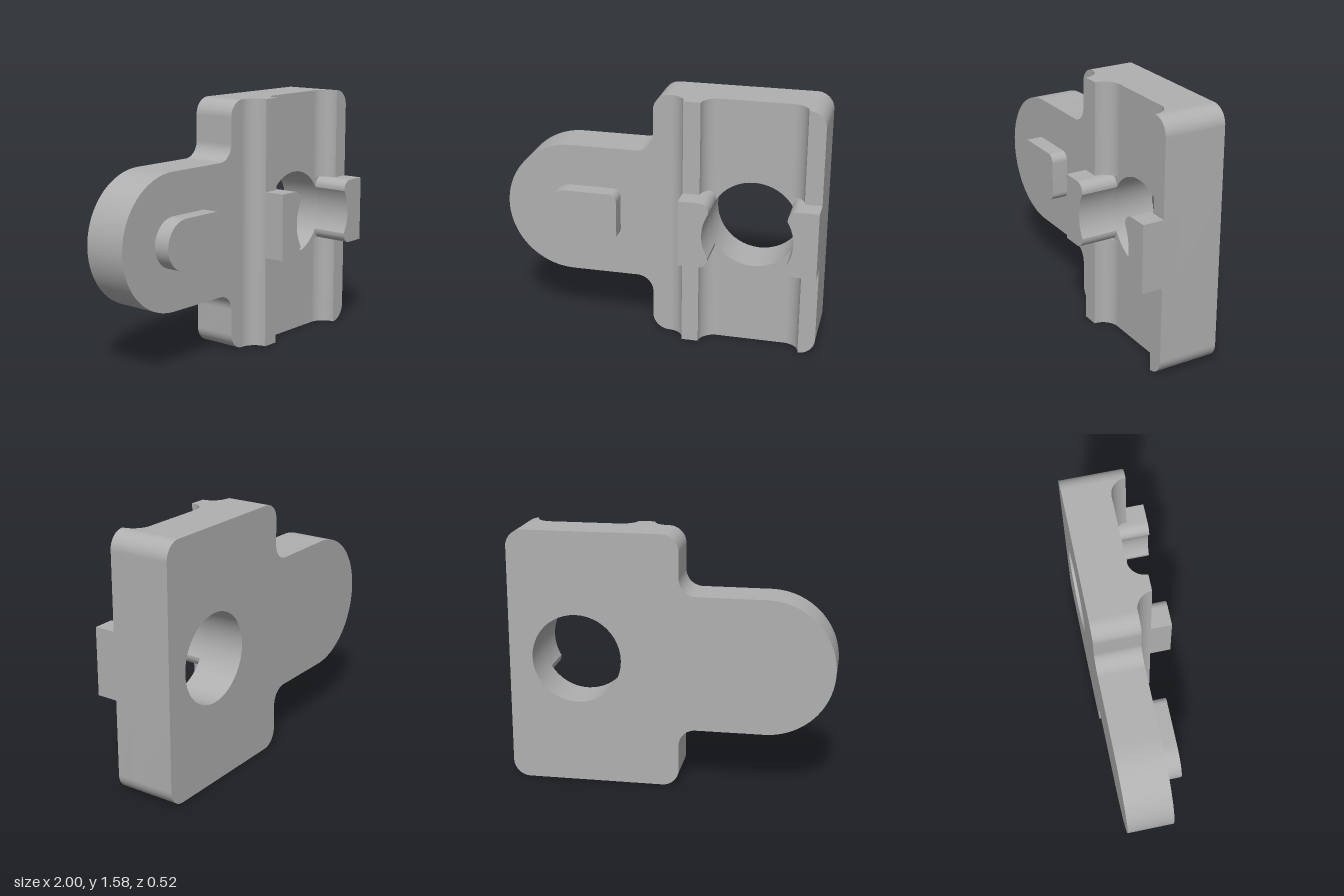
import * as THREE from 'three';
import { toCreasedNormals } from 'three/addons/utils/BufferGeometryUtils.js';

const BACK = -0.26, FLOOR = 0.023, RIDGE = 0.128, TAB = 0.26; // depth levels
const H = 1.58, MID = 0.79, R = 0.105;                        // height, centre line, fillet radius
const HOLE_X = 0.5775, HOLE_R = 0.277;
const TAB_LOW = 0.58, TAB_HIGH = 1.0;
const PI = Math.PI;

export function createModel() {
  const group = new THREE.Group();
  group.name = 'bracket';
  const grey = new THREE.MeshStandardMaterial({ color: 0xb0b0b0 });
  grey.name = 'grey';

  const add = (name, geometry) => {
    const mesh = new THREE.Mesh(toCreasedNormals(geometry, 0.5), grey);
    mesh.name = name;
    group.add(mesh);
  };
  const extrude = (shape, depth) =>
    new THREE.ExtrudeGeometry(shape, { depth, bevelEnabled: false, curveSegments: 24 });
  // front-facing outline, extruded from z0 to z1
  const slab = (name, shape, z0, z1) => add(name, extrude(shape, z1 - z0).translate(0, 0, z0));
  // x-z profile, extruded upwards from y0 to y1
  const rail = (name, shape, y0, y1) =>
    add(name, extrude(shape, y1 - y0).rotateX(PI / 2).translate(0, y1, 0));

  // base plate with rounded tongue and round hole
  const plate = new THREE.Shape();
  const left = -0.055, tongueR = 0.42;
  plate.moveTo(left + R, 0);
  plate.lineTo(1 - R, 0);
  plate.absarc(1 - R, R, R, -PI / 2, 0, false);
  plate.absarc(1 - R, H - R, R, 0, PI / 2, false);
  plate.absarc(left + R, H - R, R, PI / 2, PI, false);
  plate.absarc(left - R, MID + tongueR + R, R, 0, -PI / 2, true);
  plate.absarc(-0.58, MID, tongueR, PI / 2, PI * 1.5, false);
  plate.absarc(left - R, MID - tongueR - R, R, PI / 2, 0, true);
  plate.absarc(left + R, R, R, PI, PI * 1.5, false);
  const hole = new THREE.Path();
  hole.absarc(HOLE_X, MID, HOLE_R, 0, PI * 2, true);
  plate.holes.push(hole);
  slab('basePlate', plate, BACK, FLOOR);

  // raised pad on the tongue
  const pad = new THREE.Shape();
  const padR = 0.157, c = 0.05, padRight = -0.265;
  pad.absarc(-0.578, MID, padR, PI / 2, PI * 1.5, false);
  pad.absarc(padRight - c, MID - padR + c, c, -PI / 2, 0, false);
  pad.absarc(padRight - c, MID + padR - c, c, 0, PI / 2, false);
  slab('tonguePad', pad, FLOOR, RIDGE);

  // outer fillet of the inner ridge, full height
  const outerFillet = new THREE.Shape();
  outerFillet.absarc(0.155 - R, RIDGE, R, -PI / 2, 0, false);
  outerFillet.lineTo(0.155, FLOOR);
  rail('ridgeOuterFillet', outerFillet, 0, H);

  // ridge crest and groove fillets, interrupted by the tabs
  const crest = new THREE.Shape();
  crest.moveTo(0.155, FLOOR);
  crest.lineTo(0.155, RIDGE);
  crest.lineTo(0.26, RIDGE);
  crest.absarc(0.26 + R, RIDGE, R, PI, PI * 1.5, false);
  const edgeFillet = new THREE.Shape();
  edgeFillet.absarc(0.895 - R, RIDGE, R, -PI / 2, 0, false);
  edgeFillet.lineTo(0.895, FLOOR);
  for (const [y0, y1] of [[0, TAB_LOW], [TAB_HIGH, H]]) {
    rail('ridgeCrest', crest, y0, y1);
    rail('edgeRidgeFillet', edgeFillet, y0, y1);
  }

  // edge ridge, following the plate's rounded corners
  const edge = new THREE.Shape();
  edge.moveTo(1 - R, 0);
  edge.absarc(1 - R, R, R, -PI / 2, 0, false);
  edge.absarc(1 - R, H - R, R, 0, PI / 2, false);
  slab('edgeRidge', edge, FLOOR, RIDGE);

  // pair of tabs flanking the hole, mirrored about its centre
  const reach = 0.2375, outer = 0.4225, k = 0.06;
  const half = (TAB_HIGH - TAB_LOW) / 2;
  const a = Math.acos(reach / HOLE_R);
  for (const side of [-1, 1]) {
    const outline = new THREE.Shape();
    outline.moveTo(outer, -half);
    outline.lineTo(outer, half);
    outline.absarc(reach + k, half - k, k, PI / 2, PI, false);
    outline.absarc(0, 0, HOLE_R, a, -a, true);
    outline.absarc(reach + k, k - half, k, PI, PI * 1.5, false);
    const points = outline.getPoints(16).map(p => new THREE.Vector2(HOLE_X + side * p.x, MID + p.y));
    slab(side < 0 ? 'innerTab' : 'edgeTab', new THREE.Shape(points), FLOOR, TAB);
  }
  return group;
}
